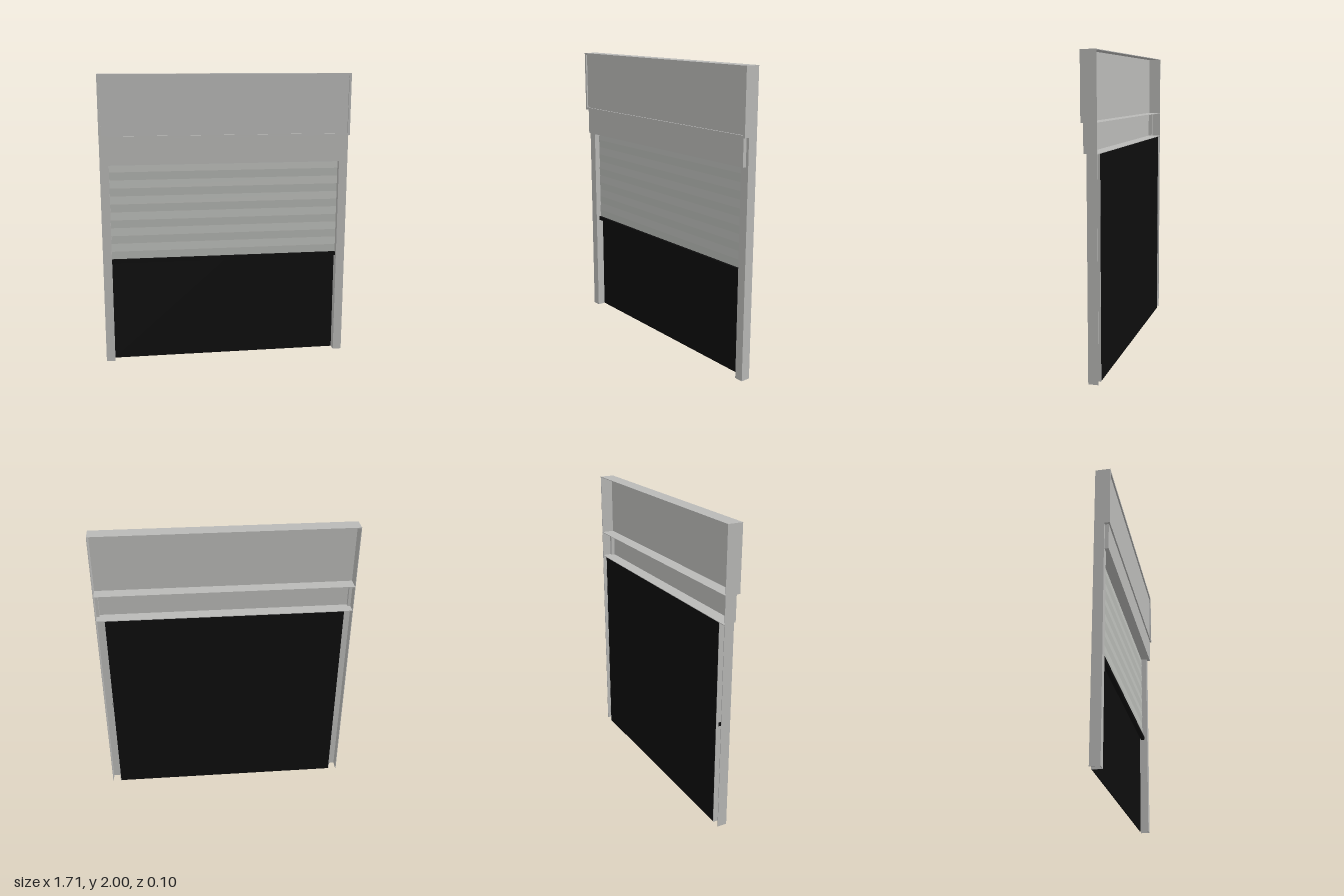
import * as THREE from 'three';

export function createModel() {
  const model = new THREE.Group();
  const metal = new THREE.MeshStandardMaterial({ color: 0xb9b9b7 });
  metal.name = 'grey metal';
  const slat = new THREE.MeshStandardMaterial({ color: 0xb9bbb7 });
  slat.name = 'shutter grey';
  const black = new THREE.MeshStandardMaterial({ color: 0x0d0d0d });
  black.name = 'black';

  const T = 0.004; // sheet thickness

  // Box given by its extents on each axis
  function plate(name, x0, x1, y0, y1, z0, z1, material = metal, parent = model) {
    const mesh = new THREE.Mesh(new THREE.BoxGeometry(x1 - x0, y1 - y0, z1 - z0), material);
    mesh.position.set((x0 + x1) / 2, (y0 + y1) / 2, (z0 + z1) / 2);
    mesh.name = name;
    parent.add(mesh);
    return mesh;
  }

  // Header box, open at the back, with a recessed front panel
  const header = new THREE.Group();
  header.name = 'headerBox';
  model.add(header);
  const rim = new THREE.Shape([
    new THREE.Vector2(-0.855, 1.58), new THREE.Vector2(0.855, 1.58),
    new THREE.Vector2(0.855, 2), new THREE.Vector2(-0.855, 2),
  ]);
  rim.holes.push(new THREE.Path([
    new THREE.Vector2(-0.84, 1.595), new THREE.Vector2(-0.84, 1.985),
    new THREE.Vector2(0.84, 1.985), new THREE.Vector2(0.84, 1.595),
  ]));
  const frame = new THREE.Mesh(
    new THREE.ExtrudeGeometry(rim, { depth: 0.012, bevelEnabled: false }), metal);
  frame.position.z = 0.038;
  frame.name = 'headerFrame';
  header.add(frame);
  plate('headerPanel', -0.85, 0.85, 1.584, 1.996, 0.036, 0.04, metal, header);
  plate('headerTop', -0.855, 0.855, 2 - T, 2, -0.05, 0.038, metal, header);
  plate('headerShelf', -0.855, 0.855, 1.58, 1.58 + T, -0.05, 0.038, metal, header);

  // Lintel band below the header
  const lintel = new THREE.Group();
  lintel.name = 'lintel';
  model.add(lintel);
  plate('lintelFront', -0.835, 0.835, 1.4, 1.58, 0.036, 0.04, metal, lintel);
  plate('lintelShelf', -0.851, 0.851, 1.4, 1.4 + T, -0.05, 0.011, metal, lintel);
  plate('lintelLip', -0.835, 0.835, 1.4, 1.4 + T, 0.011, 0.036, metal, lintel);

  // Sides: channel posts open at the back, header and lintel end walls
  for (const s of [-1, 1]) {
    const post = new THREE.Group();
    post.name = s > 0 ? 'leftPost' : 'rightPost';
    model.add(post);
    const side = (name, a, b, y0, y1, z0, z1, parent) =>
      plate(name, Math.min(s * a, s * b), Math.max(s * a, s * b), y0, y1, z0, z1, metal, parent);
    side('postOuterWall', 0.851, 0.855, 0, 1.58, -0.05, 0.015, post);
    side('postInnerWall', 0.795, 0.799, 0, 1.4, -0.05, 0.015, post);
    side('postFront', 0.799, 0.851, 0, 1.4, 0.011, 0.015, post);
    side('postUpperFront', 0.831, 0.851, 1.4, 1.58, 0.011, 0.015, post);
    side('lintelEnd', 0.831, 0.835, 1.404, 1.58, 0.015, 0.036, lintel);
    side('headerEnd', 0.851, 0.855, 1.584, 1.996, -0.05, 0.038, header);
  }

  // Half-open shutter with shallow folded slats
  const profile = new THREE.Shape();
  const folds = 12, bottom = 0.735, top = 1.4;
  profile.moveTo(0.034, bottom);
  for (let i = 0; i <= folds; i++) {
    const y = bottom + (top - bottom) * i / folds;
    profile.lineTo(i % 2 ? 0.022 : 0.026, y);
  }
  profile.lineTo(0.034, top);
  const shutter = new THREE.Mesh(
    new THREE.ExtrudeGeometry(profile, { depth: 1.59, bevelEnabled: false }), slat);
  shutter.rotation.y = Math.PI / 2;
  shutter.position.x = -0.795;
  shutter.name = 'shutter';
  model.add(shutter);

  // Bar along the shutter's lower edge, its ends run through the posts
  plate('shutterBar', -0.802, 0.802, 0.71, 0.736, -0.034, -0.008, black);

  // Dark backing of the opening
  plate('darkOpening', -0.795, 0.795, 0, 1.4, -0.048, -0.042, black);

  return model;
}
